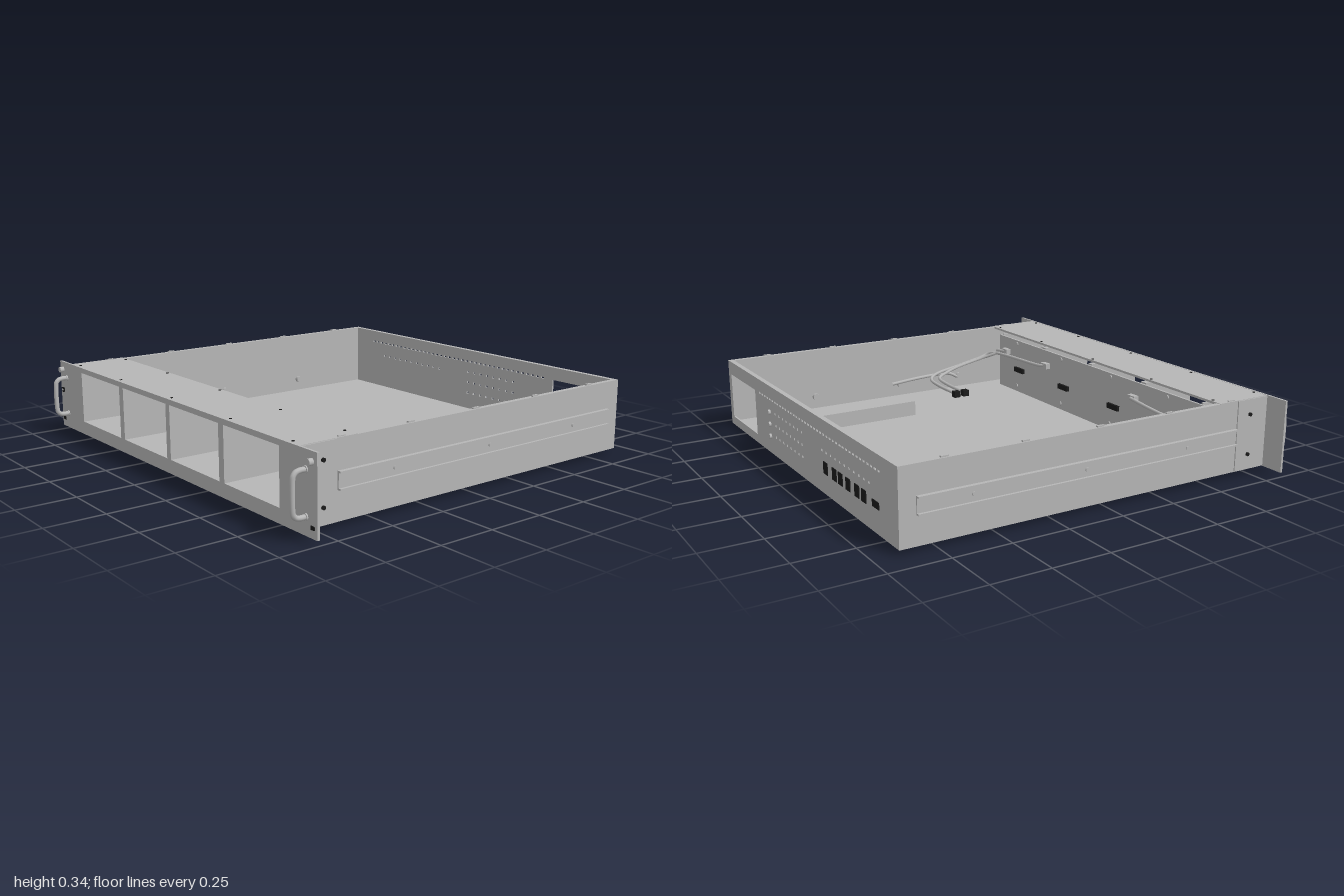
import * as THREE from 'three';

const metal = new THREE.MeshStandardMaterial({ color: 0xb6b6b6 });
metal.name = 'grey metal';
const dark = new THREE.MeshStandardMaterial({ color: 0x1a1a1a });
dark.name = 'black plastic';

export function createModel() {
  const root = new THREE.Group();

  const add = (name, geo, mat = metal) => {
    const m = new THREE.Mesh(geo, mat);
    m.name = name;
    root.add(m);
    return m;
  };
  // Box given by its limits on each axis
  const box = (name, x0, x1, y0, y1, z0, z1, mat) =>
    add(name, new THREE.BoxGeometry(x1 - x0, y1 - y0, z1 - z0)
      .translate((x0 + x1) / 2, (y0 + y1) / 2, (z0 + z1) / 2), mat);
  // Short cylinder along one axis
  const disc = (name, x, y, z, r, h, axis, mat, sides = 20) => {
    const g = new THREE.CylinderGeometry(r, r, h, sides);
    if (axis === 'x') g.rotateZ(Math.PI / 2);
    if (axis === 'z') g.rotateX(Math.PI / 2);
    return add(name, g.translate(x, y, z), mat);
  };
  const rect = (T, x0, x1, y0, y1) => {
    const s = new T();
    s.moveTo(x0, y0).lineTo(x1, y0).lineTo(x1, y1).lineTo(x0, y1).closePath();
    return s;
  };
  // Upright plate with rectangular holes
  const plate = (name, x0, x1, y0, y1, z, t, holes) => {
    const s = rect(THREE.Shape, x0, x1, y0, y1);
    for (const h of holes) s.holes.push(rect(THREE.Path, ...h));
    return add(name, new THREE.ExtrudeGeometry(s, { depth: t, bevelEnabled: false }).translate(0, 0, z));
  };
  const tube = (name, pts, r, segs = 48) =>
    add(name, new THREE.TubeGeometry(
      new THREE.CatmullRomCurve3(pts.map(p => new THREE.Vector3(...p)), false, 'catmullrom', 0.5), segs, r, 10));

  // Front panel with four drive bays
  const bays = [[-0.775, -0.41], [-0.375, -0.01], [0.02, 0.385], [0.42, 0.78]];
  const y0 = 0.08, y1 = 0.31;
  plate('frontPanel', -1, 1, 0.02, 0.333, 0.83, 0.01, bays.map(b => [...b, y0, y1]));
  box('bayFloor', -0.8, 0.8, 0.072, y0, 0.575, 0.83);
  const edges = [-0.785, ...bays.flat(), 0.79];
  for (let i = 0; i < edges.length; i += 2)
    box('bayDivider', edges[i], edges[i + 1], y0, y1, 0.575, 0.83);
  box('backplane', -0.8, 0.8, 0.03, 0.303, 0.565, 0.575);
  box('frontCover', -0.89, 0.89, 0.322, 0.332, 0.572, 0.83);
  for (const x of [-0.83, -0.435, 0, 0.435, 0.83])
    for (const z of [0.585, 0.815]) disc('coverScrew', x, 0.332, z, 0.006, 0.004, 'y', dark, 12);

  // Floor and feet
  box('floor', -0.89, 0.89, 0.02, 0.03, -0.9, 0.83);
  for (const x of [-0.745, 0.745])
    for (const z of [0.72, -0.78]) disc('foot', x, 0.01, z, 0.032, 0.02, 'y', dark, 28);

  // Sides, rails, ears and handles, mirrored
  for (const s of [-1, 1]) {
    const sideBox = (name, a, b, ...rest) => box(name, Math.min(s * a, s * b), Math.max(s * a, s * b), ...rest);
    sideBox('sideWall', 0.882, 0.89, 0.03, 0.33, -0.9, 0.83);
    sideBox('sideLip', 0.868, 0.882, 0.322, 0.33, -0.9, 0.572);
    sideBox('earBracket', 0.89, 0.895, 0.022, 0.33, 0.67, 0.83);
    sideBox('railWeb', 0.89, 0.896, 0.145, 0.205, -0.83, 0.665);
    sideBox('railUpperLip', 0.89, 0.907, 0.204, 0.211, -0.83, 0.665);
    sideBox('railLowerLip', 0.89, 0.907, 0.139, 0.146, -0.83, 0.665);
    for (const z of [-0.6, -0.1, 0.4]) disc('railScrew', s * 0.898, 0.175, z, 0.008, 0.006, 'x', metal, 14);
    for (const y of [0.09, 0.265]) disc('bracketScrew', s * 0.897, y, 0.735, 0.008, 0.012, 'x', dark, 14);
    for (const z of [0.64, 0.31, -0.03, -0.37, -0.71])
      sideBox('lidHook', 0.874, 0.884, 0.325, 0.336, z - 0.016, z + 0.016);
    for (const z of [-0.47, 0.0, 0.35]) disc('wallBoss', s * 0.875, 0.09, z, 0.016, 0.016, 'x');

    const hx = s * 0.935;
    tube('handle', [[hx, 0.09, 0.838], [hx, 0.09, 0.868], [hx, 0.098, 0.888], [hx, 0.125, 0.897],
      [hx, 0.225, 0.897], [hx, 0.252, 0.888], [hx, 0.26, 0.868], [hx, 0.26, 0.838]], 0.0105);
    for (const y of [0.09, 0.26]) disc('handleCollar', hx, y, 0.842, 0.014, 0.006, 'z');
    disc('earKnob', s * 0.97, 0.295, 0.849, 0.013, 0.02, 'z');
    box('earPort', s * 0.975 - 0.01, s * 0.975 + 0.01, 0.053, 0.067, 0.84, 0.844, dark);
  }
  disc('powerButtonRing', -0.975, 0.198, 0.842, 0.012, 0.008, 'z', dark);
  disc('powerButton', -0.975, 0.198, 0.845, 0.005, 0.008, 'z');

  // Rear wall with supply window and vents
  const holes = [[0.53, 0.855, 0.06, 0.268]];
  for (let i = 0; i < 40; i++) {
    const x = -0.75 + i * 0.031;
    holes.push([x, x + 0.018, 0.265, 0.273]);
  }
  for (const y of [0.11, 0.163, 0.216])
    for (let i = 0; i < 8; i++) holes.push([0.28 - i * 0.043, 0.292 - i * 0.043, y - 0.005, y + 0.005]);
  for (let i = 0; i < 11; i++) holes.push([-0.66 + i * 0.043, -0.648 + i * 0.043, 0.195, 0.204]);
  plate('rearWall', -0.882, 0.882, 0.03, 0.33, -0.9, 0.008, holes);
  box('rearLip', -0.882, 0.882, 0.322, 0.33, -0.892, -0.878);
  for (const y of [0.1, 0.155, 0.21]) disc('rearSocket', 0.35, y, -0.904, 0.011, 0.012, 'z');
  [-0.257, -0.343, -0.4, -0.47, -0.55, -0.61, -0.71].forEach((x, i) => {
    const h = i === 6 ? 0.014 : 0.025, w = i === 6 ? 0.028 : 0.02;
    box('rearPort', x - w, x + w, 0.133 - h, 0.133 + h, -0.903, -0.899, dark);
  });

  // Interior partition
  box('partition', 0.517, 0.523, 0.03, 0.1, -0.81, -0.1);

  // Backplane connectors and screws
  for (const x of [-0.6, -0.2, 0.2, 0.6]) {
    box('driveConnector', x - 0.04, x + 0.04, 0.138, 0.162, 0.552, 0.565, dark);
    disc('backplaneScrew', x + 0.03, 0.285, 0.563, 0.01, 0.006, 'z');
    disc('backplaneScrew', x + 0.03, 0.06, 0.563, 0.01, 0.006, 'z');
  }
  for (const x of [-0.72, -0.35, 0.35, 0.72])
    box('cablePlug', x - 0.025, x + 0.025, 0.217, 0.243, 0.54, 0.565);

  // Cables
  tube('leftCable', [[-0.35, 0.23, 0.54], [-0.5, 0.22, 0.53], [-0.72, 0.2, 0.532], [-0.82, 0.17, 0.51],
    [-0.857, 0.14, 0.44], [-0.85, 0.12, 0.36], [-0.81, 0.11, 0.325], [-0.7, 0.11, 0.318]], 0.008);
  box('leftCableEnd', -0.715, -0.69, 0.1, 0.12, 0.31, 0.326, dark);
  [[0.35, 0.118, 0], [0.72, 0.167, 0.012]].forEach(([x, z, d]) => {
    tube('rightCable', [[x, 0.23, 0.545], [x + 0.06, 0.225, 0.535], [0.79 - d, 0.21, 0.525], [0.84 - d, 0.18, 0.46],
      [0.85 - d, 0.15, 0.33], [0.835 - d, 0.13, z + 0.08], [0.79, 0.115, z + 0.02], [0.68, 0.11, z + 0.004],
      [0.5, 0.11, z]], 0.008);
    box('rightCableEnd', 0.48, 0.51, 0.095, 0.125, z - 0.015, z + 0.015, dark);
  });
  tube('straightCable', [[0.83, 0.1, 0.31], [0.845, 0.12, 0.26], [0.838, 0.12, 0.1], [0.828, 0.11, -0.07]], 0.008, 20);

  return root;
}
